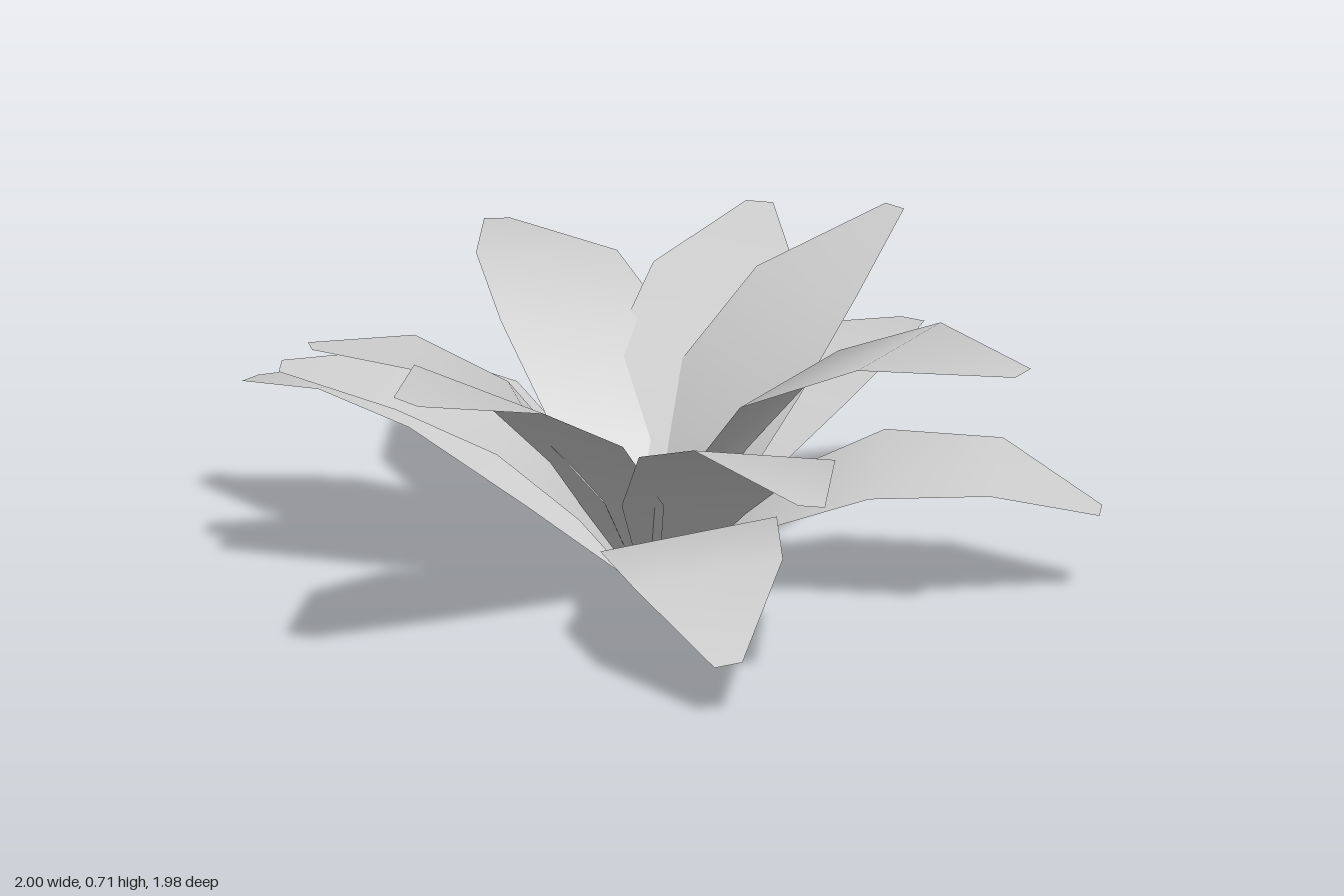
import * as THREE from 'three';

// Leaves: tip x/z, distance and height at four cross-sections, sideways tilt
const LEAVES = [
  { name: 'backLeaf', tip: [0.05, -0.99], r: [0.2, 0.43, 0.68], y: [0.2, 0.33, 0.395, 0.375], tilt: 0 },
  { name: 'backRightInnerLeaf', tip: [-0.2, -0.78], r: [0.14, 0.31, 0.53], y: [0.2, 0.41, 0.56, 0.64], tilt: 0 },
  { name: 'backLeftInnerLeaf', tip: [0.2, -0.72], r: [0.11, 0.25, 0.44], y: [0.2, 0.41, 0.59, 0.71], tilt: 0 },
  { name: 'backLeftLowLeaf', tip: [0.875, -0.54], r: [0.23, 0.48, 0.735], y: [0.18, 0.28, 0.28, 0.19], tilt: -0.13 },
  { name: 'leftLeaf', tip: [1.0, -0.09], r: [0.15, 0.35, 0.63], y: [0.28, 0.51, 0.625, 0.615], tilt: -0.1 },
  { name: 'frontLeftLeaf', tip: [0.89, 0.52], r: [0.2, 0.45, 0.71], y: [0.22, 0.39, 0.475, 0.44], tilt: 0.16 },
  { name: 'frontLeftLowLeaf', tip: [0.81, 0.71], r: [0.25, 0.51, 0.79], y: [0.17, 0.255, 0.245, 0.12], tilt: -0.16 },
  { name: 'frontLeaf', tip: [0.165, 0.99], r: [0.19, 0.45, 0.73], y: [0.27, 0.48, 0.61, 0.657], tilt: 0.2 },
  { name: 'frontRightInnerLeaf', tip: [-0.465, 0.475], r: [0.12, 0.28, 0.485], y: [0.22, 0.41, 0.53, 0.56], tilt: 0 },
  { name: 'frontRightLeaf', tip: [-0.635, 0.35], r: [0.14, 0.31, 0.53], y: [0.2, 0.36, 0.44, 0.46], tilt: 0.15 },
  { name: 'backRightLeaf', tip: [-0.73, -0.56], r: [0.19, 0.41, 0.64], y: [0.27, 0.48, 0.57, 0.565], tilt: -0.08 },
  { name: 'rightLeaf', tip: [-1.0, -0.04], r: [0.23, 0.5, 0.76], y: [0.17, 0.31, 0.345, 0.285], tilt: 0 },
];
const CENTRE = [0.055, -0.045];
const HALF_WIDTHS = [0.03, 0.14, 0.19, 0.16, 0.03];

// One blade: a strip of five straight cross-sections from root to tip
function leafGeometry({ tip, r, y, tilt }) {
  const dx = tip[0] - CENTRE[0], dz = tip[1] - CENTRE[1];
  const length = Math.hypot(dx, dz);
  const hx = dx / length, hz = dz / length;
  const dist = [0.025, ...r, length];
  const height = [0.01, ...y];
  const pos = [], index = [];
  HALF_WIDTHS.forEach((w, i) => {
    for (const s of [-w, w]) {
      pos.push(
        CENTRE[0] + hx * dist[i] - hz * s,
        Math.max(0, height[i] + tilt * s),
        CENTRE[1] + hz * dist[i] + hx * s
      );
    }
    if (i > 0) {
      const a = 2 * i - 2;
      index.push(a, a + 1, a + 2, a + 1, a + 3, a + 2);
    }
  });
  const geo = new THREE.BufferGeometry();
  geo.setAttribute('position', new THREE.Float32BufferAttribute(pos, 3));
  geo.setIndex(index);
  geo.computeVertexNormals();
  return geo;
}

export function createModel() {
  const group = new THREE.Group();
  group.name = 'leafyPlant';
  const leafMaterial = new THREE.MeshStandardMaterial({ color: 0xcccccc, side: THREE.DoubleSide });
  leafMaterial.name = 'pale grey leaf';
  for (const leaf of LEAVES) {
    const mesh = new THREE.Mesh(leafGeometry(leaf), leafMaterial);
    mesh.name = leaf.name;
    group.add(mesh);
  }
  return group;
}
